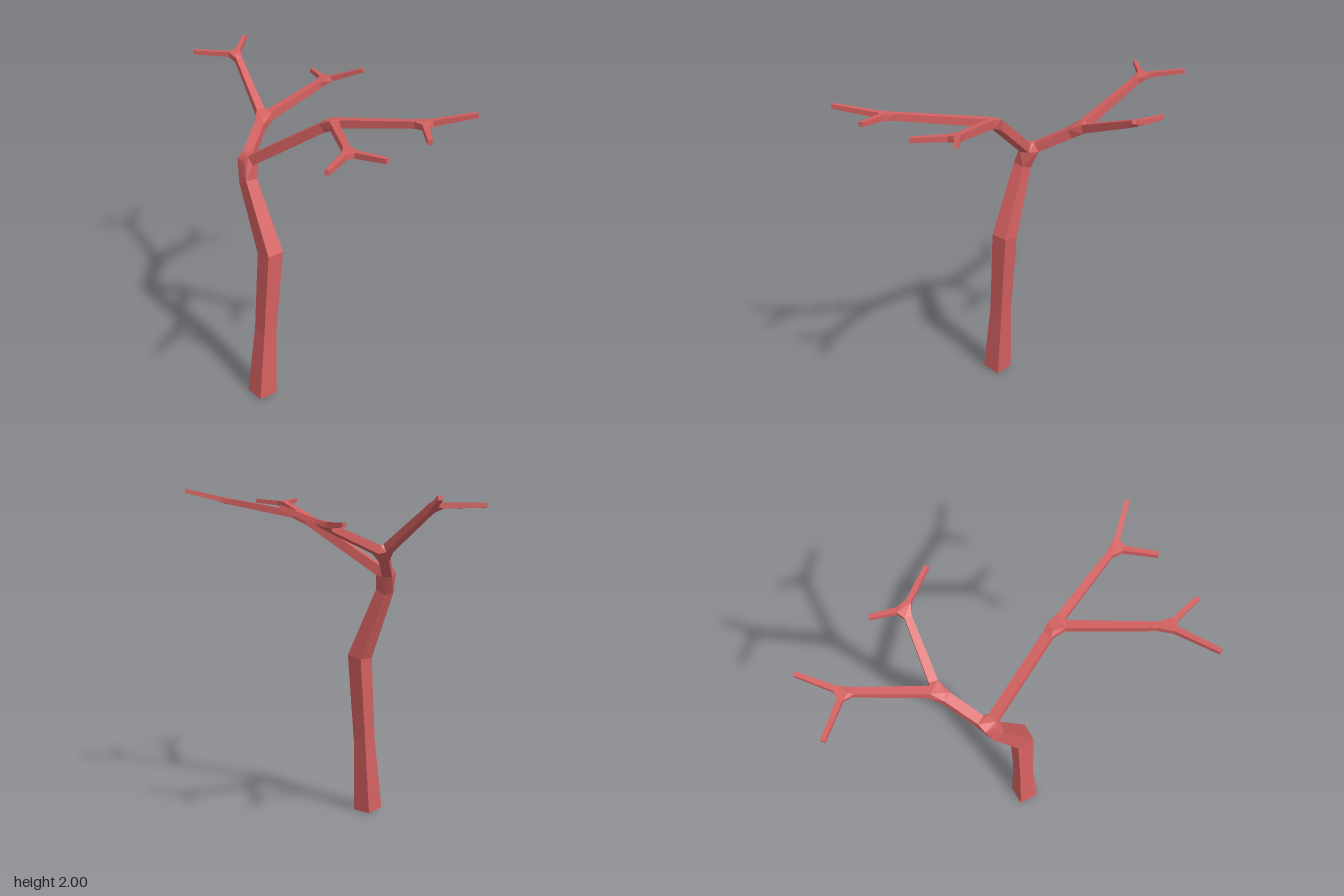
import * as THREE from 'three';
import { ConvexGeometry } from 'three/addons/geometries/ConvexGeometry.js';

const V = (x, y, z) => new THREE.Vector3(x, y, z);
const UP = V(0, 1, 0), FRONT = V(0, 0, 1);

// Four corners of a square section at p, facing along t
function ring(p, t, half, ref) {
  const u = ref.clone().cross(t).normalize();
  const v = t.clone().cross(u).normalize();
  return [[1, 1], [-1, 1], [-1, -1], [1, -1]].map(([a, b]) =>
    p.clone().addScaledVector(u, a * half).addScaledVector(v, b * half));
}

// Flat-faced skin over a run of square sections
function skin(rings, capStart, capEnd) {
  const pts = [];
  const quad = (a, b, c, d) => pts.push(a, b, c, a, c, d);
  for (let k = 0; k < rings.length - 1; k++) {
    const a = rings[k], b = rings[k + 1];
    for (let i = 0; i < 4; i++) {
      const j = (i + 1) % 4;
      quad(a[i], a[j], b[j], b[i]);
    }
  }
  if (capStart) quad(...rings[0].slice().reverse());
  if (capEnd) quad(...rings[rings.length - 1]);
  const g = new THREE.BufferGeometry().setFromPoints(pts);
  g.computeVertexNormals();
  return g;
}

// Branch nodes: position, half thickness, joint length, children
const tip = (x, y, z) => ({ p: V(x, y, z), half: 0.012, kids: [] });
const node = (x, y, z, half, gap, ...kids) => ({ p: V(x, y, z), half, gap, kids });

const fork = node(-0.19, 1.475, 0.22, 0.03, 0.06,
  node(0.31, 1.83, 0.02, 0.026, 0.055,
    node(0.77, 1.925, -0.17, 0.018, 0.045, tip(0.95, 1.985, -0.35), tip(0.943, 1.93, -0.027)),
    node(0.77, 1.92, 0.33, 0.018, 0.045, tip(0.975, 1.942, 0.28), tip(0.91, 1.953, 0.58))),
  node(-0.35, 1.62, -0.03, 0.029, 0.055,
    node(-0.78, 1.865, -0.16, 0.019, 0.045, tip(-0.947, 1.893, -0.35), tip(-0.975, 1.867, 0.02)),
    node(-0.30, 1.77, -0.46, 0.02, 0.045, tip(-0.483, 1.767, -0.51), tip(-0.1, 1.86, -0.58))));

export function createModel() {
  const bark = new THREE.MeshStandardMaterial({ color: 0xd46060 });
  bark.name = 'redBark';
  const tree = new THREE.Group();
  tree.name = 'bareTree';
  const add = (name, geometry) => {
    const m = new THREE.Mesh(geometry, bark);
    m.name = name;
    tree.add(m);
  };

  // Bent square trunk, mitred at each bend
  const path = [V(0.029, 0.006, 0.306), V(0.027, 0.46, 0.267), V(0.027, 0.985, 0.222), V(-0.152, 1.385, 0.234), fork.p];
  const halves = [0.062, 0.046, 0.052, 0.037];
  const dirs = path.slice(1).map((p, i) => p.clone().sub(path[i]).normalize());
  const trunk = halves.map((h, i) => {
    const t = dirs[i].clone().add(dirs[Math.max(i - 1, 0)]).normalize();
    return ring(path[i], t, h, FRONT);
  });
  add('trunk', skin(trunk, true, false));

  // Each joint is a hull around the sections that meet there
  function grow(n, incoming, level) {
    const joint = [...incoming];
    for (const kid of n.kids) {
      const t = kid.p.clone().sub(n.p).normalize();
      const isTip = kid.kids.length === 0;
      const startHalf = isTip ? 0.015 : n.half * (level ? 0.85 : 0.95);
      const start = ring(n.p.clone().addScaledVector(t, n.gap), t, startHalf, UP);
      const end = ring(kid.p.clone().addScaledVector(t, -(kid.gap || 0)), t, kid.half, UP);
      joint.push(...start);
      add(isTip ? 'twig' : level ? 'branch' : 'mainBranch', skin([start, end], false, isTip));
      if (!isTip) grow(kid, end, level + 1);
    }
    // Fuller core so the joint keeps its thickness
    joint.push(...ring(n.p, UP, n.half * 1.05, FRONT).map(
      (c) => c.addScaledVector(UP, n.half * (level ? 0.6 : 0.9))));
    add(level ? 'branchJoint' : 'trunkFork', new ConvexGeometry(joint));
  }
  grow(fork, trunk[3], 0);

  return tree;
}
